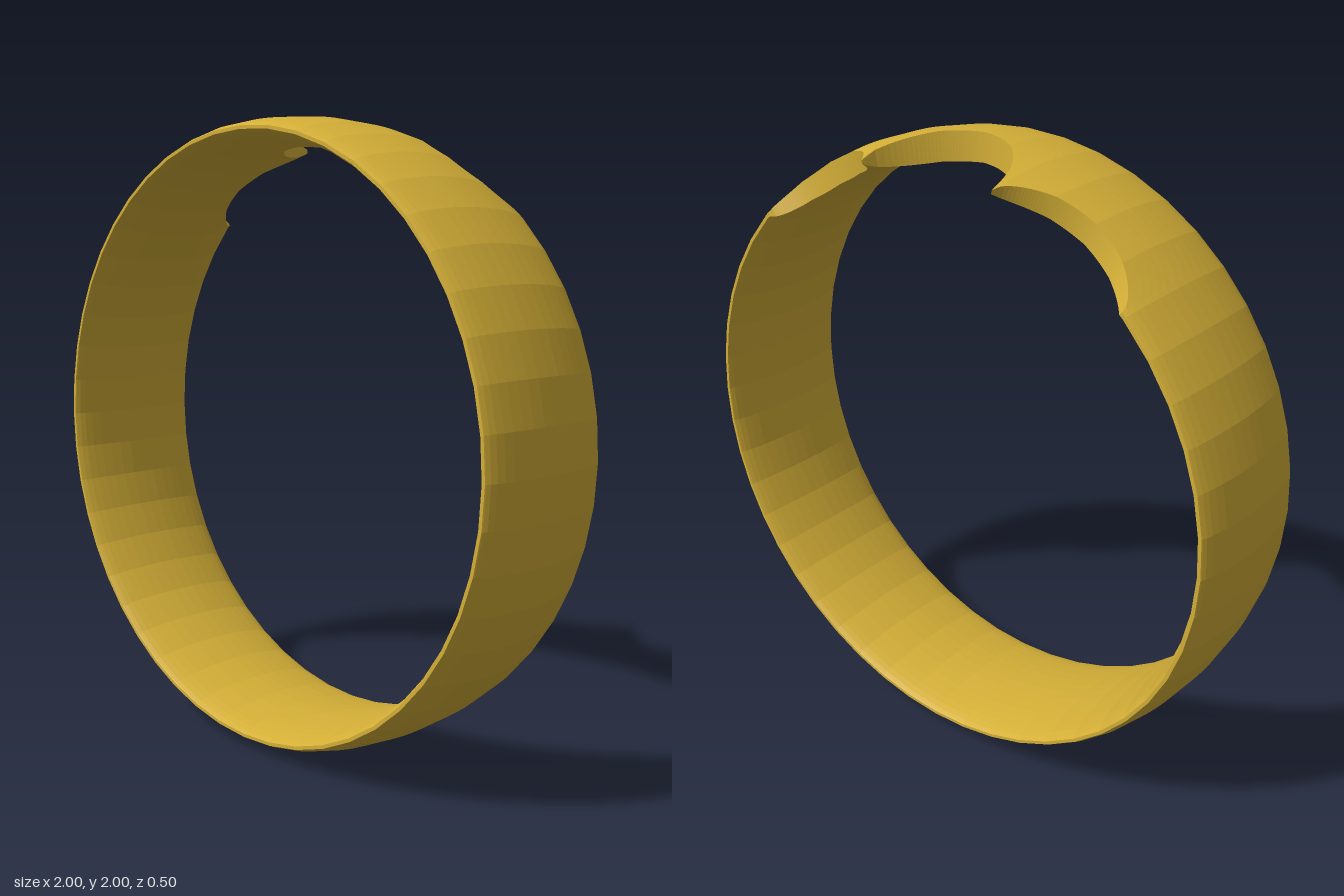
import * as THREE from 'three';

const HALF_WIDTH = 0.25, MID = 0.955, SIDES = 48, ROWS = 18;
const STEP = 360 / SIDES;

// Half thickness of the lens-shaped band at depth z
function halfThickness(z) {
  const s = Math.abs(z) / HALF_WIDTH;
  return 0.045 * (1 - 0.72 * s ** 2 - 0.16 * s ** 14);
}

// Back edge of the band at an angle (degrees from the top): one deep and two shallow scallops
function backEdge(deg) {
  const a = Math.abs(deg);
  let cut = 0;
  if (a < 14.5) cut = 0.26 * (1 - (a / 14.5) ** 2) ** 0.6;
  else if (a < 44) cut = 0.122 * (1 - ((a - 29.25) / 14.75) ** 2) ** 0.7;
  return -HALF_WIDTH + cut;
}

// Angles of the cross-sections, finer where the edge is scalloped
function sectionAngles() {
  const angles = [];
  for (let i = 0; i < SIDES; i++) {
    const start = -180 + i * STEP;
    const parts = Math.abs(start + STEP / 2) < 45 ? 15 : 1;
    for (let k = 0; k < parts; k++) angles.push(start + (k * STEP) / parts);
  }
  return angles;
}

// Closed cross-section loops joined around the ring
function bandGeometry() {
  const angles = sectionAngles();
  const loop = 2 * (ROWS + 1);
  const positions = [], index = [];
  const rad = Math.PI / 180;

  for (const deg of angles) {
    // keep points on the straight chord of their facet
    const local = ((deg + 180) % STEP) - STEP / 2;
    const chord = Math.cos((STEP / 2) * rad) / Math.cos(local * rad);
    const z0 = backEdge(deg);
    for (let j = 0; j < loop; j++) {
      const outer = j <= ROWS;
      const t = (outer ? j : loop - 1 - j) / ROWS;
      const z = z0 + (HALF_WIDTH - z0) * (1 - Math.cos(Math.PI * t)) / 2;
      const r = (MID + (outer ? 1 : -1) * halfThickness(z)) * chord;
      positions.push(r * Math.sin(deg * rad), 1 + r * Math.cos(deg * rad), z);
    }
  }

  for (let i = 0; i < angles.length; i++) {
    const next = (i + 1) % angles.length;
    for (let j = 0; j < loop; j++) {
      const k = (j + 1) % loop;
      const a = i * loop + j, b = i * loop + k;
      const c = next * loop + j, d = next * loop + k;
      index.push(a, b, c, b, d, c);
    }
  }

  const geometry = new THREE.BufferGeometry();
  geometry.setAttribute('position', new THREE.Float32BufferAttribute(positions, 3));
  geometry.setIndex(index);
  const flat = geometry.toNonIndexed();
  flat.computeVertexNormals();
  return flat;
}

export function createModel() {
  const group = new THREE.Group();
  group.name = 'scallopedRing';
  const gold = new THREE.MeshStandardMaterial({ color: 0xd4af37 });
  gold.name = 'gold';
  const band = new THREE.Mesh(bandGeometry(), gold);
  band.name = 'ringBand';
  group.add(band);
  return group;
}
